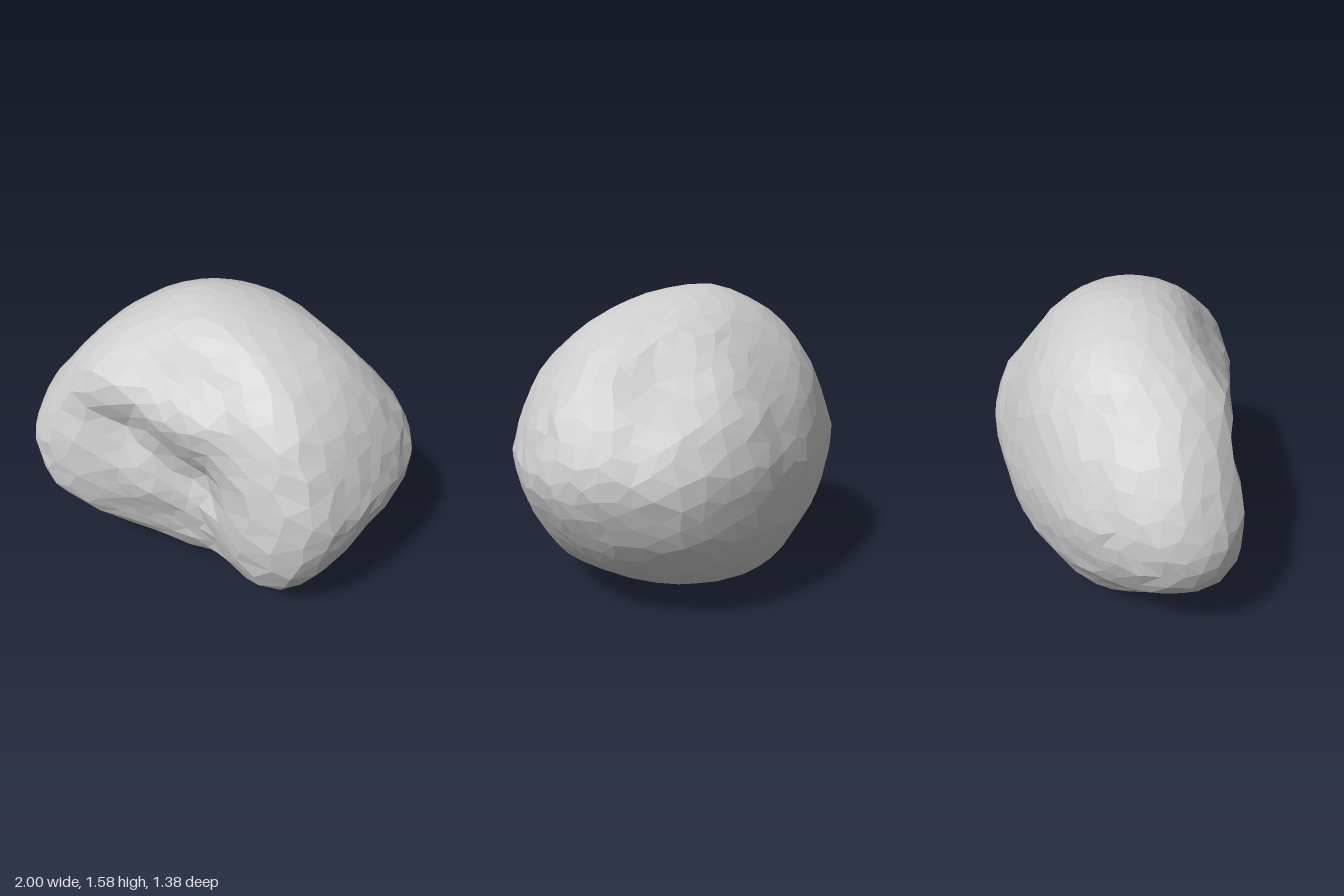
import * as THREE from 'three';

const { lerp, smoothstep } = THREE.MathUtils;
const MID = 0.792; // half the height

// Plan outline at the widest level: x, z
const outline = [
  [1, -0.13], [0.99, 0], [0.94, 0.2], [0.88, 0.35], [0.78, 0.52], [0.7, 0.63], [0.58, 0.69], [0.45, 0.69],
  [0.33, 0.66], [0.15, 0.59], [-0.1, 0.55], [-0.4, 0.5], [-0.63, 0.51], [-0.78, 0.49], [-0.92, 0.38],
  [-0.99, 0.25], [-1, 0.1], [-0.94, -0.07], [-0.83, -0.23], [-0.53, -0.47], [-0.28, -0.6], [0, -0.67],
  [0.13, -0.7], [0.38, -0.7], [0.6, -0.64], [0.78, -0.48],
].map(([x, z]) => ({ a: Math.atan2(z / 0.7, x), r: Math.hypot(x, z / 0.7) })).sort((p, q) => p.a - q.a);

// Extent of the stone at each height: y, x min, x max, z min, z max
const levels = [
  [0, -0.22, -0.22, -0.06, -0.06], [0.03, -0.35, 0.1, -0.25, 0.14], [0.12, -0.56, 0.46, -0.41, 0.37],
  [0.28, -0.73, 0.72, -0.55, 0.56], [0.45, -0.91, 0.86, -0.65, 0.64], [0.6, -0.98, 0.95, -0.68, 0.68],
  [0.75, -1, 1.01, -0.7, 0.68], [0.86, -0.96, 0.99, -0.69, 0.67], [1.03, -0.86, 0.93, -0.64, 0.62],
  [1.2, -0.7, 0.82, -0.55, 0.56], [1.35, -0.56, 0.68, -0.44, 0.44], [1.45, -0.42, 0.52, -0.35, 0.35],
  [1.53, -0.27, 0.29, -0.22, 0.24], [1.59, -0.06, -0.06, 0.0, 0.0],
].map(([y, ...ext]) => ({ phi: Math.asin(Math.max(-1, Math.min(1, y / MID - 1))), ext }));

function outlineRadius(a) {
  const n = outline.length;
  let i = outline.findIndex((p) => p.a > a);
  if (i < 0) i = n;
  const p = outline[(i - 1 + n) % n], q = outline[i % n];
  const pa = i === 0 ? p.a - 2 * Math.PI : p.a;
  const qa = i === n ? q.a + 2 * Math.PI : q.a;
  return lerp(p.r, q.r, (a - pa) / (qa - pa));
}

function extentAt(phi) {
  let i = levels.findIndex((l) => l.phi >= phi);
  i = i < 0 ? levels.length - 1 : Math.max(1, i);
  const p = levels[i - 1], q = levels[i];
  const t = Math.min(1, Math.max(0, (phi - p.phi) / (q.phi - p.phi)));
  return p.ext.map((v, k) => lerp(v, q.ext[k], t));
}

// Broad swellings and flats, as direction from the centre, amount and spread
const swellings = [
  [0.6, 0.5, -0.46, -0.13, 0.07], // flat on the upper back, +x side
  [-0.47, 0.52, -0.56, 0.1, 0.07], // shoulder on the upper back, -x side
  [0.57, -0.52, 0.43, 0.1, 0.08], // foot of the front lobe
  [-0.14, -0.43, 0.48, -0.12, 0.09], // undercut of the lower front
  [-0.8, -0.36, 0.4, 0.04, 0.05], // low front corner
  [-0.5, 0.5, 0.35, 0.05, 0.05], // upper front, -x side
].map(([x, y, z, amount, spread]) => ({ dir: new THREE.Vector3(x, y, z).normalize(), amount, spread }));

// Soft groove along a line on the front face, or a ridge where the depth is negative
function groove(x, y, [x0, y0, x1, y1, depth0, depth1, width]) {
  const dx = x1 - x0, dy = y1 - y0;
  const t = Math.min(1, Math.max(0, ((x - x0) * dx + (y - y0) * dy) / (dx * dx + dy * dy)));
  const d = Math.hypot(x - x0 - t * dx, y - y0 - t * dy);
  return lerp(depth0, depth1, t) * Math.exp(-((d / width) ** 2));
}
const grooves = [
  [0.06, 0.75, -0.42, 1.0, 0.07, 0.05, 0.14], // crease under the brow
  [0.06, 0.75, 0.16, 0.2, 0.07, 0.05, 0.17], // cleft beside the lobe
  [0.08, 1.12, -0.42, 1.16, -0.07, -0.05, 0.13], // brow
];

function shape(dir) {
  // uneven spacing gives irregular facets
  const d = dir.clone();
  d.x += 0.025 * Math.sin(17 * dir.y + 23 * dir.z);
  d.y += 0.025 * Math.sin(19 * dir.z + 21 * dir.x);
  d.z += 0.025 * Math.sin(18 * dir.x + 25 * dir.y);
  d.normalize();
  const phi = Math.asin(Math.max(-1, Math.min(1, d.y)));
  const a = Math.atan2(d.z, d.x);
  const [x0, x1, z0, z1] = extentAt(phi);
  // the plan outline rounds off towards top and bottom
  const r = lerp(outlineRadius(a), 1, smoothstep(Math.abs(phi), 0.3, 1.2) * 0.8);
  const rough = 1 + 0.008 * Math.sin(31 * d.x + 12 * d.y) * Math.sin(29 * d.y + 14 * d.z);
  const p = new THREE.Vector3(
    (x0 + x1) / 2 + ((x1 - x0) / 2) * r * Math.cos(a) * rough,
    MID * d.y,
    (z0 + z1) / 2 + ((z1 - z0) / 2) * r * Math.sin(a) * rough,
  );
  const out = p.clone().normalize();
  const swell = swellings.reduce((s, b) => s + b.amount * Math.exp((out.dot(b.dir) - 1) / b.spread), 0);
  p.multiplyScalar(1 + swell);
  p.y += MID;
  const cut = grooves.reduce((s, g) => s + groove(p.x, p.y, g), 0);
  p.z -= cut * smoothstep(d.z, 0.1, 0.6);
  return p;
}

export function createModel() {
  const group = new THREE.Group();
  group.name = 'boulder';
  const geometry = new THREE.IcosahedronGeometry(1, 8);
  const pos = geometry.attributes.position;
  const v = new THREE.Vector3();
  for (let i = 0; i < pos.count; i++) {
    const p = shape(v.fromBufferAttribute(pos, i));
    pos.setXYZ(i, p.x, p.y, p.z);
  }
  geometry.computeVertexNormals();
  const stone = new THREE.Mesh(geometry, new THREE.MeshStandardMaterial({ color: 0xcccccc, flatShading: true }));
  stone.name = 'stone';
  group.add(stone);
  return group;
}
